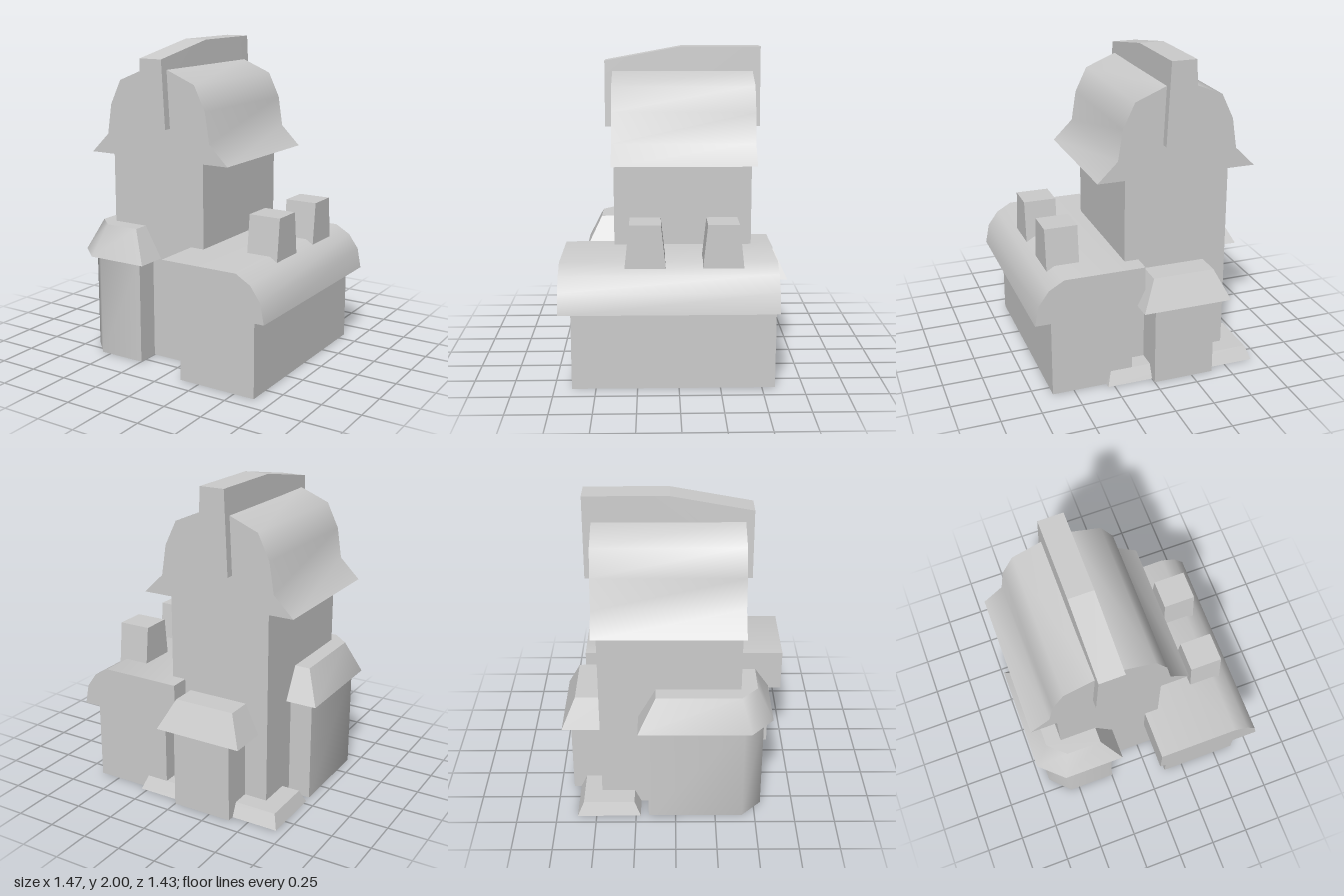
import * as THREE from 'three';
import { toCreasedNormals } from 'three/addons/utils/BufferGeometryUtils.js';

const CREASE = THREE.MathUtils.degToRad(50);

// Solid between two convex outlines of [x, z] points (front-left, then counter-clockwise from above)
function loft(bottom, top, y0, y1) {
  const n = bottom.length, pos = [], index = [];
  bottom.forEach(([x, z]) => pos.push(x, y0, z));
  top.forEach(([x, z]) => pos.push(x, y1, z));
  for (let i = 0; i < n; i++) {
    const j = (i + 1) % n;
    index.push(i, j, n + j, i, n + j, n + i);
    if (i > 0 && i < n - 1) index.push(n, n + i, n + i + 1, 0, i + 1, i);
  }
  const g = new THREE.BufferGeometry();
  g.setAttribute('position', new THREE.Float32BufferAttribute(pos, 3));
  g.setIndex(index);
  return toCreasedNormals(g, CREASE);
}

const rect = (x0, x1, z0, z1) => [[x0, z1], [x1, z1], [x1, z0], [x0, z0]];

function extrude(points, z0, z1) {
  const shape = new THREE.Shape(points.map(([x, y]) => new THREE.Vector2(x, y)));
  const g = new THREE.ExtrudeGeometry(shape, { depth: z1 - z0, bevelEnabled: false });
  return g.translate(0, 0, z0);
}

export function createModel() {
  const group = new THREE.Group();
  const stone = new THREE.MeshStandardMaterial({ color: 0xcccccc });
  stone.name = 'pale grey';
  const add = (name, geometry) => {
    const mesh = new THREE.Mesh(geometry, stone);
    mesh.name = name;
    group.add(mesh);
  };
  const block = (name, x0, x1, y0, y1, z0, z1) =>
    add(name, loft(rect(x0, x1, z0, z1), rect(x0, x1, z0, z1), y0, y1));

  // Main tower and its flared barn roof
  block('towerWalls', -0.54, 0.13, 0, 1.3, -0.47, 0.4);
  const cx = -0.2;
  const half = [[0.507, 1.295], [0.38, 1.42], [0.35, 1.61], [0.275, 1.765], [0.08, 1.845]];
  const roof = [
    ...half.map(([x, y]) => [cx + x, y]),
    ...half.slice().reverse().map(([x, y]) => [cx - x, y]),
  ];
  add('towerRoof', toCreasedNormals(extrude(roof, -0.49, 0.41), CREASE));

  // Ridge beam running through the roof, narrowing upwards
  const beam = extrude([[0.46, 1.49], [0.46, 1.91], [-0.03, 2], [-0.54, 2], [-0.54, 1.49]], -1, 1);
  beam.rotateY(-Math.PI / 2);
  const p = beam.attributes.position;
  for (let i = 0; i < p.count; i++) {
    const t = Math.min(1, (p.getY(i) - 1.49) / 0.42);
    p.setX(i, -0.205 + p.getX(i) * (0.1025 - 0.024 * t));
  }
  add('ridgeBeam', toCreasedNormals(beam, 0.1));

  // Side wing with a one-sided rounded roof
  block('wingWalls', 0.12, 0.635, 0, 0.5, -0.58, 0.645);
  const wing = [[0.04, 0.493], [0.735, 0.493], [0.71, 0.62], [0.645, 0.71], [0.55, 0.765], [0.04, 0.765]];
  add('wingRoof', toCreasedNormals(extrude(wing, -0.592, 0.712), CREASE));

  // Two tapered chimneys on the wing
  for (const z of [0.2, -0.265]) {
    add('chimney', loft(rect(0.393, 0.6, z - 0.123, z + 0.123),
      rect(0.393, 0.6, z - 0.094, z + 0.094), 0.733, 1));
  }

  // Side bay with one cut corner and a hipped roof
  const bay = [[-0.685, 0.42], [-0.56, 0.545], [-0.25, 0.545], [-0.25, -0.17], [-0.685, -0.17]];
  add('bayWalls', loft(bay, bay, 0, 0.665));
  add('bayRoof', loft(
    [[-0.738, 0.46], [-0.585, 0.6], [-0.19, 0.6], [-0.19, -0.23], [-0.738, -0.23]],
    [[-0.638, 0.4], [-0.53, 0.5], [-0.305, 0.5], [-0.305, -0.12], [-0.638, -0.12]],
    0.657, 0.855));

  // Rear porch and its hipped roof
  block('porchWalls', -0.39, 0, 0, 0.53, -0.665, -0.4);
  add('porchRoof', loft(rect(-0.48, 0.09, -0.715, -0.4), rect(-0.392, 0, -0.63, -0.4), 0.515, 0.7));

  // Low sloped plinth behind the tower
  add('plinth', loft(rect(-0.69, 0.29, -0.62, -0.22), rect(-0.658, 0.26, -0.58, -0.26), 0, 0.085));

  return group;
}
